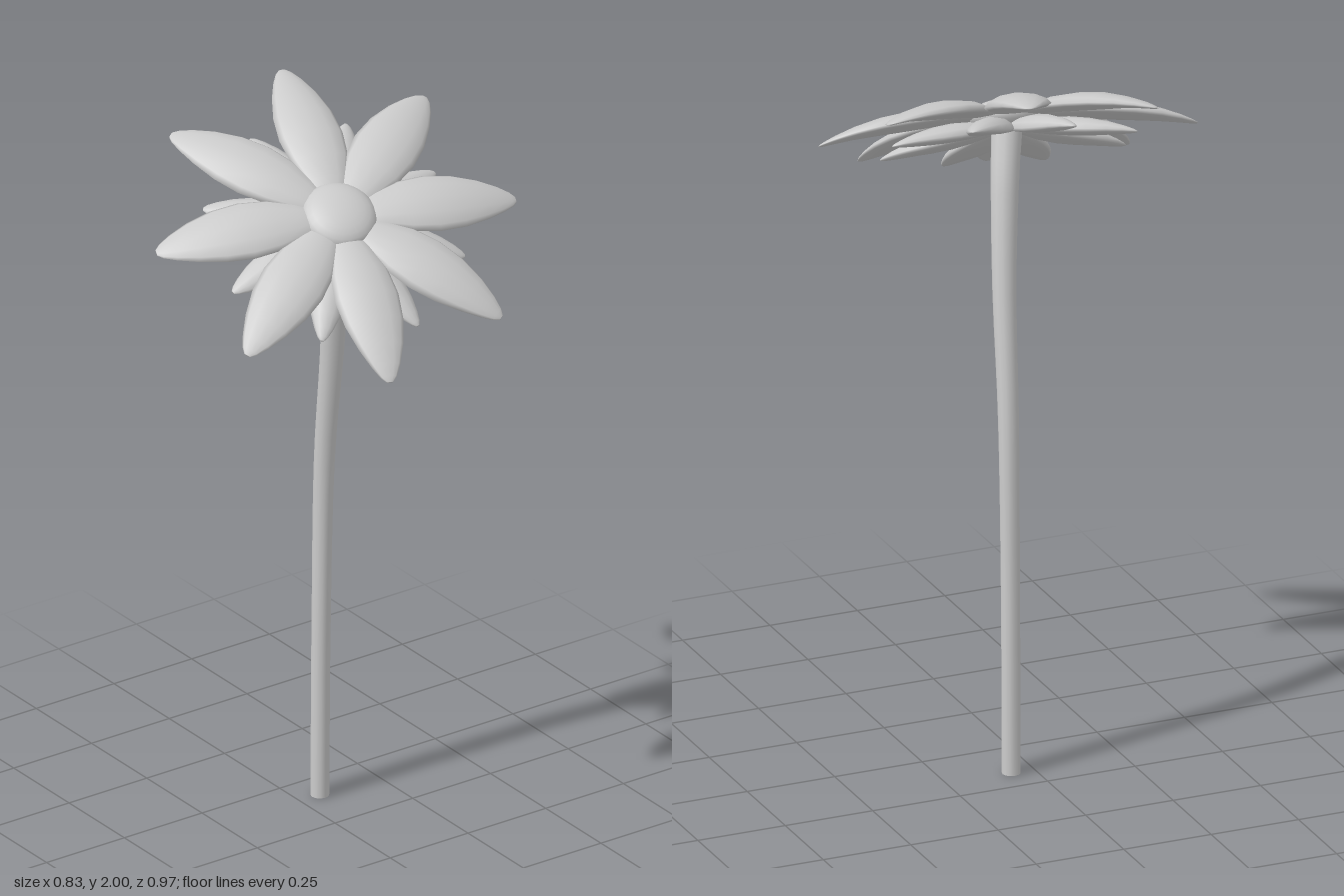
import * as THREE from 'three';
import { mergeVertices } from 'three/addons/utils/BufferGeometryUtils.js';

const material = new THREE.MeshStandardMaterial({ color: 0xcccccc });

// Half width along the petal: [position 0..1, share of full half width]
const outline = [[0, 0], [0.0, 0.4], [0.12, 0.62], [0.28, 0.9], [0.45, 1], [0.62, 0.92],
  [0.78, 0.7], [0.9, 0.45], [0.97, 0.25], [1, 0.1], [1, 0]];

// Turned profile, flattened and bent into a plump petal pointing along +x
function petalGeometry({ start, end, halfWidth, halfThick, bend }) {
  const g = new THREE.LatheGeometry(outline.map(([t, w]) => new THREE.Vector2(w, t)), 12);
  const p = g.attributes.position;
  for (let i = 0; i < p.count; i++) {
    const t = p.getY(i), side = p.getX(i), up = p.getZ(i);
    p.setXYZ(i,
      THREE.MathUtils.lerp(start, end, t),
      bend(t) + up * halfThick - side * side * halfThick * 0.6,
      side * halfWidth);
  }
  g.deleteAttribute('uv');
  g.deleteAttribute('normal');
  const merged = mergeVertices(g, 1e-5);
  merged.computeVertexNormals();
  return merged;
}

function petalRing(name, geometry, firstDegrees) {
  const ring = new THREE.Group();
  ring.name = name + 's';
  for (let i = 0; i < 8; i++) {
    const petal = new THREE.Mesh(geometry, material);
    petal.name = name;
    petal.rotation.y = -THREE.MathUtils.degToRad(firstDegrees + i * 45);
    ring.add(petal);
  }
  return ring;
}

// Curved stem, thickening towards the head
function createStem() {
  const group = new THREE.Group();
  group.name = 'stem';
  const path = new THREE.CatmullRomCurve3([
    [-0.16, 0, -0.065], [-0.153, 0.5, -0.064], [-0.135, 1, -0.062],
    [-0.085, 1.35, -0.052], [-0.03, 1.65, -0.026], [0.005, 1.77, -0.005],
  ].map((v) => new THREE.Vector3(...v)));
  const rows = 20, sides = 12, base = 0.025;
  const g = new THREE.TubeGeometry(path, rows, base, sides);
  const p = g.attributes.position, v = new THREE.Vector3();
  for (let i = 0; i < p.count; i++) {
    const t = Math.floor(i / (sides + 1)) / rows;
    const c = path.getPointAt(t);
    v.fromBufferAttribute(p, i).sub(c).multiplyScalar(1 + 0.65 * t ** 3).add(c);
    p.setXYZ(i, v.x, Math.max(v.y, 0), v.z);
  }
  const stalk = new THREE.Mesh(g, material);
  stalk.name = 'stalk';
  const cap = new THREE.Mesh(new THREE.CircleGeometry(base, sides), material);
  cap.name = 'stalkEnd';
  cap.rotation.x = Math.PI / 2;
  cap.position.set(-0.16, 0.001, -0.065);
  group.add(stalk, cap);
  return group;
}

export function createModel() {
  const model = new THREE.Group();
  model.name = 'flower';
  model.add(createStem());

  // Head, tilted off the vertical
  const head = new THREE.Group();
  head.name = 'head';
  head.position.set(0.02, 1.79, 0);
  head.quaternion.setFromUnitVectors(new THREE.Vector3(0, 1, 0),
    new THREE.Vector3(0.57, 1, 0.15).normalize());
  model.add(head);

  const disc = new THREE.Mesh(new THREE.SphereGeometry(0.1, 24, 14), material);
  disc.name = 'centreDisc';
  disc.scale.y = 0.45;
  head.add(disc);

  // Large upper petals
  head.add(petalRing('upperPetal', petalGeometry({
    start: 0.06, end: 0.5, halfWidth: 0.088, halfThick: 0.022,
    bend: (t) => 0.06 * t - 0.11 * t * t,
  }), 16));

  // Small lower petals, set between the upper ones
  head.add(petalRing('lowerPetal', petalGeometry({
    start: 0.02, end: 0.35, halfWidth: 0.055, halfThick: 0.024,
    bend: (t) => -0.035 - 0.045 * t * t,
  }), -7));

  return model;
}
